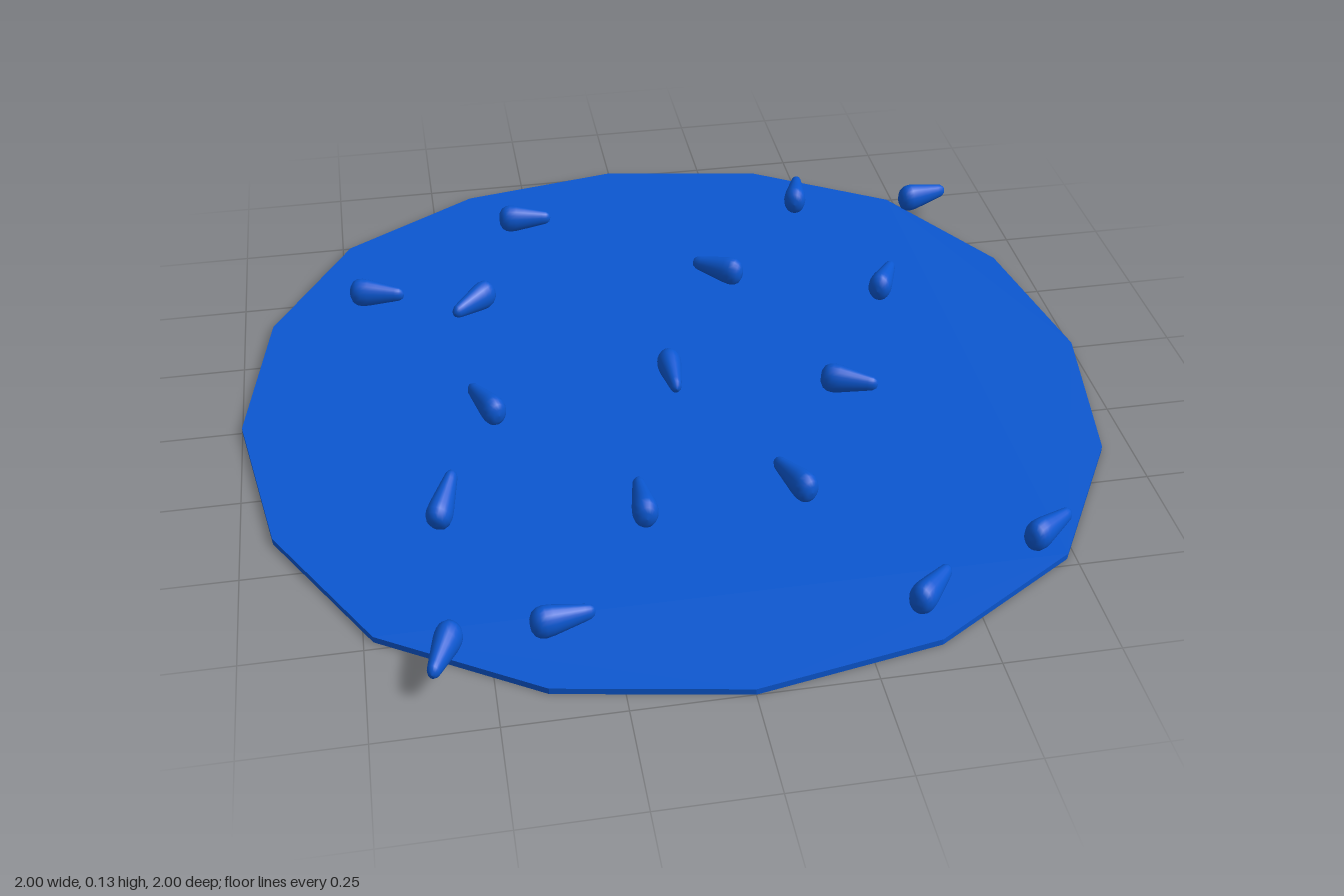
import * as THREE from 'three';

const blue = new THREE.MeshStandardMaterial({ color: 0x0b57d0 });

// Sixteen-sided flat base, one quarter outline repeated by rotation
function makeBase() {
  const quarter = [[1, 0], [0.93, 0.398], [0.73, 0.73], [0.398, 0.93]];
  const points = [];
  for (let q = 0; q < 4; q++) {
    for (const [x, y] of quarter) {
      points.push(new THREE.Vector2(x, y).rotateAround(new THREE.Vector2(), q * Math.PI / 2));
    }
  }
  const geometry = new THREE.ExtrudeGeometry(new THREE.Shape(points), { depth: 0.015, bevelEnabled: false });
  geometry.rotateX(-Math.PI / 2);
  const base = new THREE.Mesh(geometry, blue);
  base.name = 'base';
  return base;
}

// Teardrop lying along z: fat end at -z, blunt tip at +z, narrower than tall
function makeDropGeometry() {
  const profile = [
    [0, 0], [0.016, 0.002], [0.028, 0.008], [0.035, 0.018], [0.037, 0.03], [0.035, 0.046],
    [0.030, 0.068], [0.025, 0.09], [0.020, 0.112], [0.017, 0.124], [0.011, 0.132], [0, 0.135],
  ].map(([r, y]) => new THREE.Vector2(r, y));
  const geometry = new THREE.LatheGeometry(profile, 20);
  geometry.translate(0, -0.0675, 0);
  geometry.rotateX(Math.PI / 2);
  geometry.scale(0.77, 1, 1);
  return geometry;
}

// Each drop: fat end x, z, then tip x, z, then optional upward tilt
const drops = [
  [-0.335, -0.715, -0.2, -0.7],
  [0.45, -0.65, 0.485, -0.78],
  [0.737, -0.63, 0.865, -0.66],
  [-0.735, -0.435, -0.6, -0.4],
  [-0.385, -0.385, -0.485, -0.295],
  [0.245, -0.35, 0.135, -0.425],
  [0.56, -0.21, 0.63, -0.33],
  [0, -0.035, 0, 0.1],
  [-0.415, 0.13, -0.47, 0.01],
  [0.34, 0.105, 0.465, 0.16],
  [-0.583, 0.475, -0.535, 0.365, 0.42],
  [-0.14, 0.54, -0.14, 0.405],
  [0.225, 0.515, 0.17, 0.39],
  [0.635, 0.74, 0.75, 0.665],
  [0.35, 0.885, 0.445, 0.79],
  [-0.42, 0.81, -0.285, 0.79],
  [-0.57, 0.79, -0.62, 0.915],
];

export function createModel() {
  const model = new THREE.Group();
  model.name = 'dropDisc';
  model.add(makeBase());

  // Teardrops hovering just above the base
  const geometry = makeDropGeometry();
  for (const [x0, z0, x1, z1, tilt = 0] of drops) {
    const drop = new THREE.Mesh(geometry, blue);
    drop.name = 'drop';
    drop.position.set((x0 + x1) / 2, 0.074 + tilt * 0.045, (z0 + z1) / 2);
    drop.rotation.set(-tilt, Math.atan2(x1 - x0, z1 - z0), 0, 'YXZ');
    model.add(drop);
  }
  return model;
}
